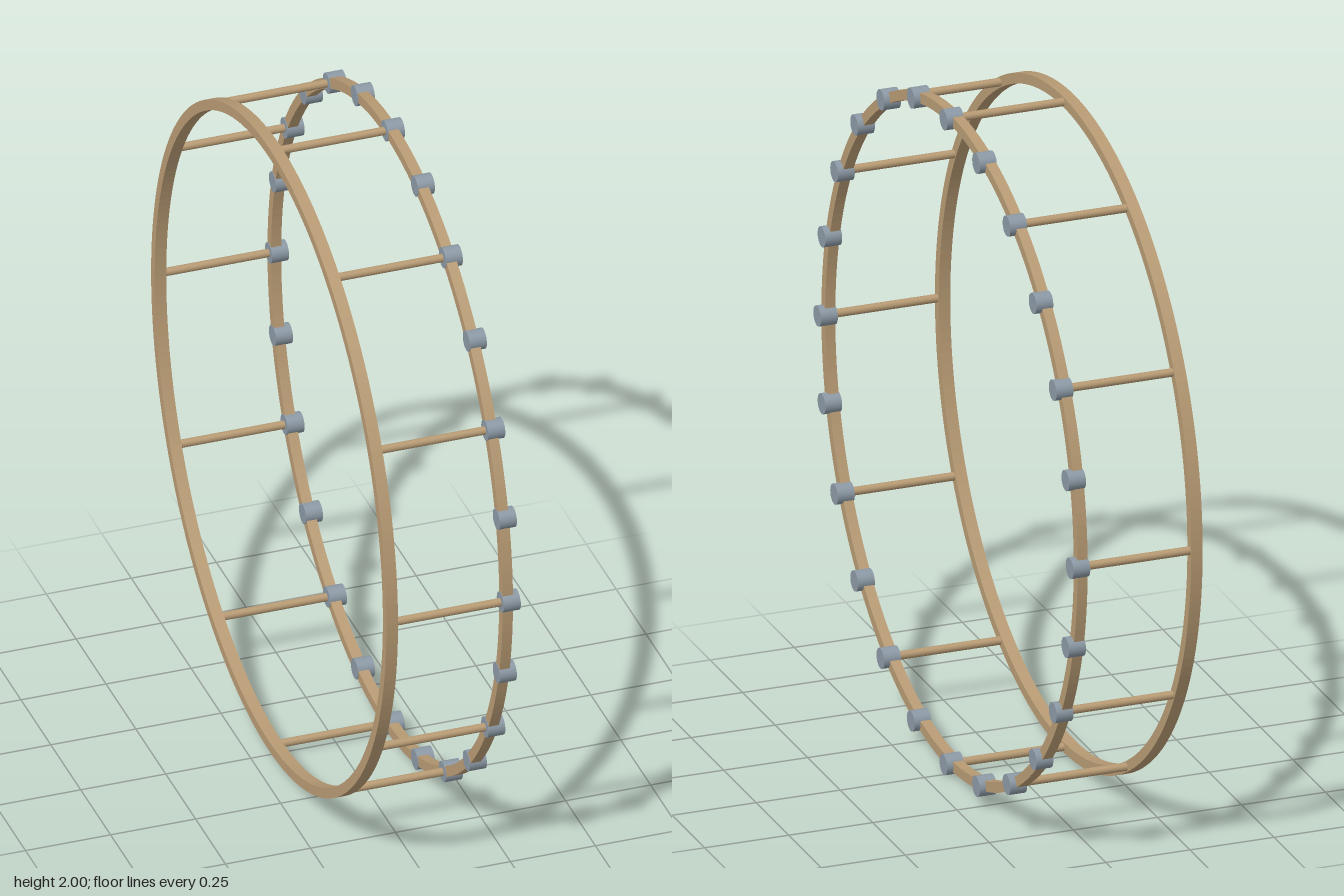
import * as THREE from 'three';

export function createModel() {
  const model = new THREE.Group();
  const wood = new THREE.MeshStandardMaterial({ color: 0xb89b74 });
  wood.name = 'tan wood';
  const steel = new THREE.MeshStandardMaterial({ color: 0x8c99a5 });
  steel.name = 'grey steel';

  const R = 0.97; // radius of the hoop centreline
  const wheel = new THREE.Group();
  wheel.name = 'wheel';
  wheel.position.y = 1;
  model.add(wheel);

  // Hoop of rectangular section lying between two x positions
  function addHoop(name, x0, x1) {
    const shape = new THREE.Shape().absarc(0, 0, R + 0.015, 0, Math.PI * 2, false);
    shape.holes.push(new THREE.Path().absarc(0, 0, R - 0.015, 0, Math.PI * 2, true));
    const geo = new THREE.ExtrudeGeometry(shape, { depth: x1 - x0, bevelEnabled: false, curveSegments: 96 });
    geo.rotateY(Math.PI / 2).translate(x0, 0, 0);
    const mesh = new THREE.Mesh(geo, wood);
    mesh.name = name;
    wheel.add(mesh);
  }
  addHoop('plainHoop', -0.197, -0.163);
  addHoop('studdedHoop', 0.145, 0.175);

  // Cylinder along x between two x positions, at an angle round the hoop
  function addBar(name, radius, x0, x1, angle, sides, material) {
    const geo = new THREE.CylinderGeometry(radius, radius, x1 - x0, sides).rotateZ(-Math.PI / 2);
    const mesh = new THREE.Mesh(geo, material);
    mesh.name = name;
    mesh.position.set((x0 + x1) / 2, R * Math.cos(angle), R * Math.sin(angle));
    wheel.add(mesh);
  }

  // Studs all round one hoop, with a crossbar at every second stud
  for (let i = 0; i < 24; i++) {
    const angle = (i / 24) * Math.PI * 2;
    addBar('stud', 0.03, 0.143, 0.193, angle, 24, steel);
    if (i % 2 === 0) addBar('crossbar', 0.012, -0.18, 0.16, angle, 16, wood);
  }
  return model;
}
